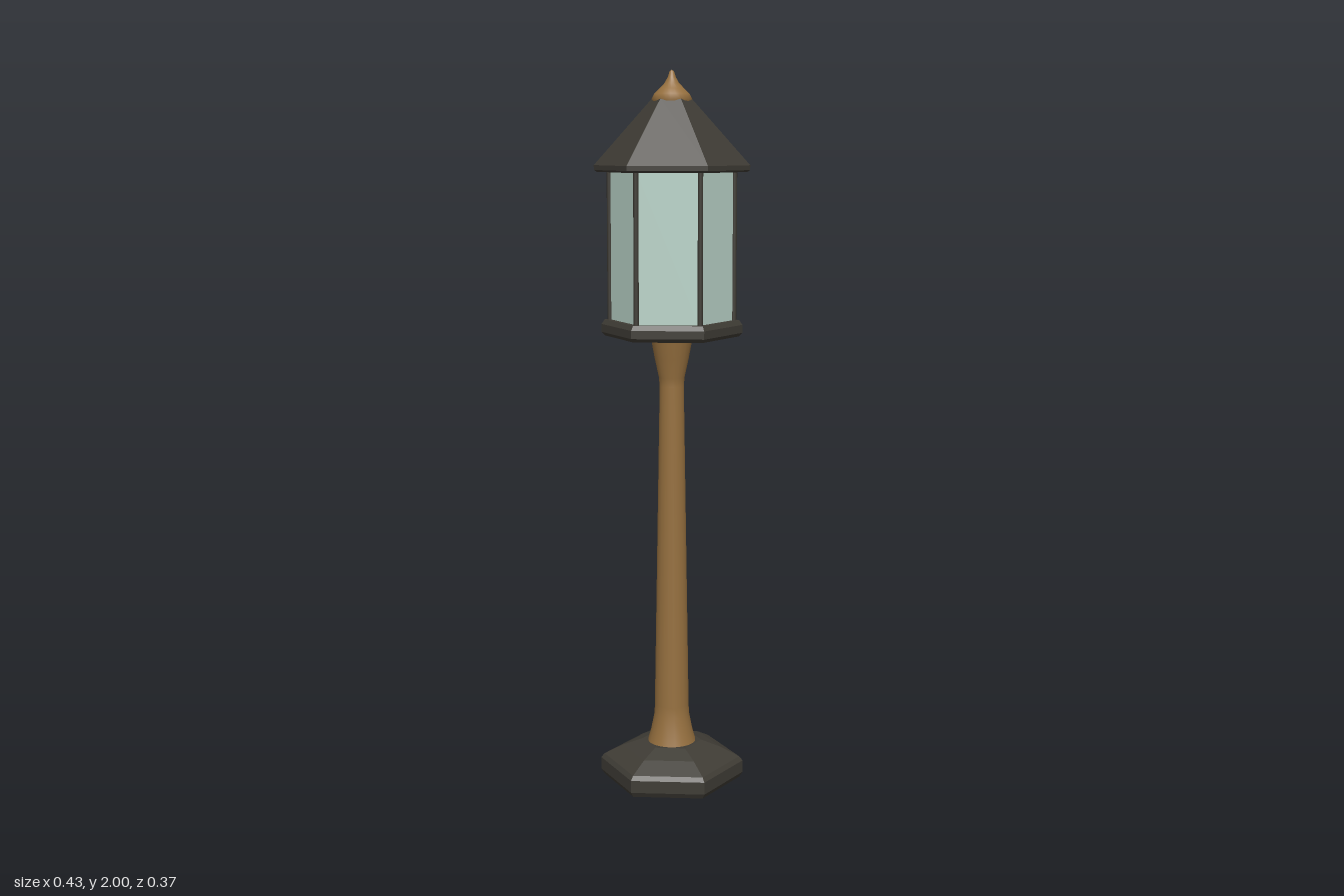
import * as THREE from 'three';

const mat = (color, flatShading = false) => {
  const m = new THREE.MeshStandardMaterial({ flatShading });
  m.color.set(color);
  return m;
};

export function createModel() {
  const group = new THREE.Group();
  const iron = mat(0x3f3c35, true);
  const ironSmooth = mat(0x3f3c35);
  const brass = mat(0x96703f);
  const glass = mat(0xbad4c9, true);

  // Revolves [radius, y] pairs; six sides put hexagon corners on the x axis
  const turned = (name, profile, sides, material) => {
    const pts = profile.map(([r, y]) => new THREE.Vector2(r, y));
    const geo = new THREE.LatheGeometry(pts, sides, Math.PI / 6);
    const mesh = new THREE.Mesh(geo, material);
    mesh.name = name;
    group.add(mesh);
    return mesh;
  };

  // Hexagonal foot with a sloping top
  turned('base', [[0, 0], [0.195, 0], [0.205, 0.015], [0.205, 0.05],
    [0.195, 0.062], [0.14, 0.09], [0.085, 0.11], [0, 0.11]], 6, iron);

  // Tapered pole, flared at both ends
  turned('pole', [[0.07, 0.105], [0.06, 0.14], [0.05, 0.19], [0.049, 0.22],
    [0.034, 1.14], [0.036, 1.165], [0.048, 1.22], [0.06, 1.285]], 20, brass);

  // Lantern floor
  turned('lanternFloor', [[0, 1.28], [0.185, 1.28], [0.195, 1.29],
    [0.195, 1.312], [0.186, 1.325], [0, 1.325]], 6, iron);

  // Glass panes
  turned('glassPanes', [[0.17, 1.32], [0.17, 1.735]], 6, glass);

  // Corner posts
  for (let i = 0; i < 6; i++) {
    const a = (i * Math.PI) / 3;
    const post = new THREE.Mesh(new THREE.CylinderGeometry(0.007, 0.007, 0.41, 8), ironSmooth);
    post.name = 'cornerPost';
    post.position.set(0.171 * Math.cos(a), 1.528, 0.171 * Math.sin(a));
    group.add(post);
  }

  // Pyramid roof with a thin eave
  turned('roof', [[0, 1.728], [0.205, 1.728], [0.213, 1.733],
    [0.213, 1.746], [0.055, 1.922], [0.01, 1.965]], 6, iron);

  // Pointed finial cap
  turned('finial', [[0.048, 1.908], [0.055, 1.922], [0.048, 1.936], [0.034, 1.95],
    [0.02, 1.964], [0.011, 1.98], [0.006, 1.995], [0, 2]], 24, brass);

  return group;
}
